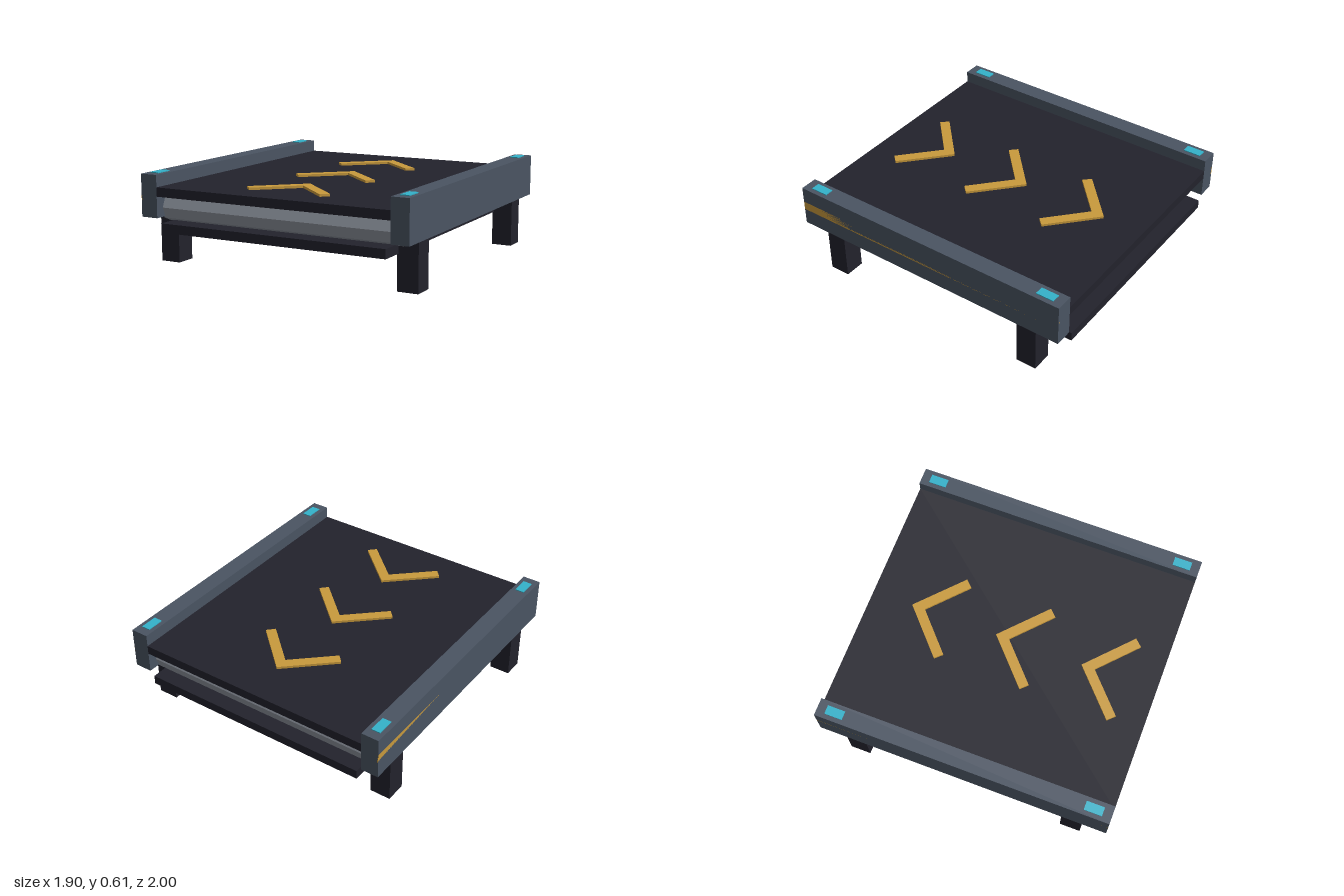
import * as THREE from 'three';

const paint = (name, color) => {
  const m = new THREE.MeshStandardMaterial({ color });
  m.name = name;
  return m;
};

export function createModel() {
  const model = new THREE.Group();
  model.name = 'conveyor';

  const dark = paint('dark rubber', 0x22222c);
  const steel = paint('blue grey steel', 0x4a5462);
  const metal = paint('roller metal', 0x8c929c);
  const gold = paint('gold marking', 0xc99a3c);
  const cyan = paint('cyan lamp', 0x34b2ca);
  metal.flatShading = true;

  const add = (name, geometry, material, x, y, z) => {
    const mesh = new THREE.Mesh(geometry, material);
    mesh.name = name;
    mesh.position.set(x, y, z);
    model.add(mesh);
    return mesh;
  };
  const box = (name, material, w, h, d, x, y, z) =>
    add(name, new THREE.BoxGeometry(w, h, d), material, x, y, z);

  // Belt and the tray below it
  box('belt', dark, 1.66, 0.06, 2, 0, 0.49, 0);
  box('tray', dark, 1.6, 0.06, 2, 0, 0.26, 0);

  // Eight-sided rollers across the frame
  const rollerGeometry = new THREE.CylinderGeometry(0.1, 0.1, 1.68, 8).rotateZ(Math.PI / 2);
  for (let i = -2; i <= 2; i++) add('roller', rollerGeometry, metal, 0, 0.38, i * 0.42);

  // Side rails with inlaid stripes, legs and corner lamps
  for (const side of [-1, 1]) {
    box('sideRail', steel, 0.12, 0.28, 2, side * 0.89, 0.46, 0);
    box('railStripe', gold, 0.008, 0.06, 2, side * 0.946, 0.46, 0);
    for (const end of [-1, 1]) {
      box('leg', dark, 0.14, 0.32, 0.14, side * 0.86, 0.16, end * 0.76);
      box('lamp', cyan, 0.06, 0.008, 0.12, side * 0.89, 0.602, end * 0.88);
    }
  }

  // Direction chevrons on the belt, pointing to the back
  const outline = [
    [0, 0.117], [-0.3, -0.16], [-0.254, -0.208], [0, 0.026], [0.254, -0.208], [0.3, -0.16],
  ].map(([x, y]) => new THREE.Vector2(x, y));
  const chevronGeometry = new THREE.ExtrudeGeometry(new THREE.Shape(outline), {
    depth: 0.016, bevelEnabled: false,
  }).rotateX(-Math.PI / 2);
  for (const z of [-0.6, 0, 0.6]) add('chevron', chevronGeometry, gold, 0, 0.52, z);

  return model;
}
